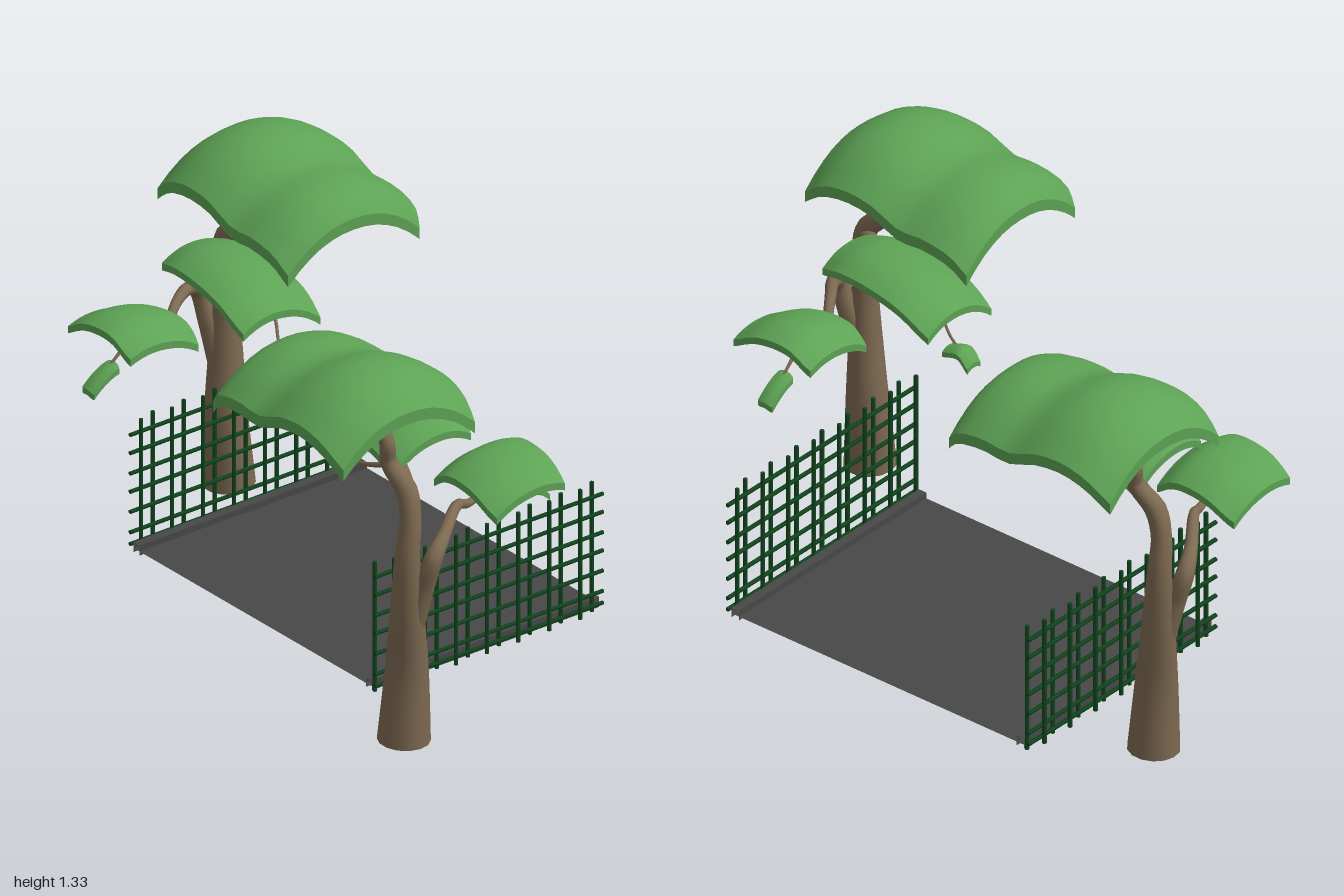
import * as THREE from 'three';

const mat = (name, color, side = THREE.FrontSide) => {
  const m = new THREE.MeshStandardMaterial({ color, side });
  m.name = name;
  return m;
};
const bark = mat('bark brown', 0x7e6a52);
const leaf = mat('leaf green', 0x5da355);
const fenceGreen = mat('fence green', 0x10441d);
const asphalt = mat('asphalt grey', 0x484849, THREE.DoubleSide);

function add(parent, name, geometry, material) {
  const mesh = new THREE.Mesh(geometry, material);
  mesh.name = name;
  parent.add(mesh);
  return mesh;
}

const curveOf = (pts) => new THREE.CatmullRomCurve3(pts.map((p) => new THREE.Vector3(p[0], p[1], p[2])));

// Tapered limb: each point is [x, y, z, radius]
function limb(parent, name, pts, sides = 10) {
  const curve = curveOf(pts);
  const seg = pts.length * 5;
  const geo = new THREE.TubeGeometry(curve, seg, 1, sides);
  const pos = geo.attributes.position;
  const v = new THREE.Vector3();
  for (let i = 0; i <= seg; i++) {
    const c = curve.getPointAt(i / seg);
    const t = curve.getUtoTmapping(i / seg) * (pts.length - 1);
    const k = Math.min(Math.floor(t), pts.length - 2);
    const r = THREE.MathUtils.lerp(pts[k][3], pts[k + 1][3], t - k);
    for (let j = 0; j <= sides; j++) {
      const n = i * (sides + 1) + j;
      v.fromBufferAttribute(pos, n).sub(c).multiplyScalar(r).add(c);
      pos.setXYZ(n, v.x, v.y, v.z);
    }
  }
  add(parent, name, geo, bark);
}

// Arched foliage pad: a slab bent along a spine in x, drooping and tilting in z
function pad(parent, name, spine, half, sag, tilt, thick) {
  const curve = curveOf(spine);
  const geo = new THREE.BoxGeometry(1, 1, 1, 16, 1, 12);
  const pos = geo.attributes.position;
  for (let i = 0; i < pos.count; i++) {
    const u = pos.getX(i) + 0.5;
    const w = pos.getZ(i) * 2;
    const c = curve.getPoint(u);
    const dz = w * half * (1 - 0.08 * Math.pow(Math.abs(2 * u - 1), 4));
    const y = c.y - sag * Math.pow(Math.abs(w), 2.2) + tilt * dz;
    pos.setXYZ(i, c.x, y + (pos.getY(i) - 0.5) * thick, c.z + dz);
  }
  geo.computeVertexNormals();
  add(parent, name, geo, leaf);
}

function makeTree(name) {
  const tree = new THREE.Group();
  tree.name = name;

  // Trunk, side stem and branches
  limb(tree, 'trunk', [
    [0.88, 0.022, 0.345, 0.086], [0.885, 0.27, 0.337, 0.07], [0.905, 0.5, 0.352, 0.054],
    [0.915, 0.7, 0.358, 0.04], [0.908, 0.82, 0.34, 0.034], [0.88, 0.91, 0.335, 0.036],
    [0.81, 0.985, 0.35, 0.028], [0.812, 1.06, 0.36, 0.025], [0.77, 1.108, 0.36, 0.02],
    [0.66, 1.09, 0.39, 0.012], [0.53, 1.12, 0.46, 0.004]], 14);
  const base = add(tree, 'trunkBase', new THREE.CircleGeometry(0.086, 14), bark);
  base.rotation.x = Math.PI / 2;
  base.position.set(0.88, 0.022, 0.345);
  limb(tree, 'sideStem', [
    [0.915, 0.45, 0.335, 0.04], [0.945, 0.58, 0.315, 0.034], [0.97, 0.69, 0.295, 0.031],
    [0.93, 0.735, 0.22, 0.022], [0.84, 0.76, 0.1, 0.018], [0.78, 0.715, 0, 0.014],
    [0.76, 0.73, -0.1, 0.011], [0.76, 0.79, -0.2, 0.006]]);
  limb(tree, 'lowTwig', [
    [0.77, 0.725, -0.07, 0.009], [0.75, 0.735, -0.17, 0.007], [0.74, 0.68, -0.26, 0.004]], 6);
  limb(tree, 'middleBranch', [
    [0.895, 0.89, 0.335, 0.028], [0.79, 0.9, 0.27, 0.022], [0.68, 0.905, 0.21, 0.018],
    [0.6, 0.92, 0.17, 0.014], [0.56, 0.95, 0.13, 0.01], [0.54, 1.0, 0.1, 0.006]]);
  limb(tree, 'middleTwig', [
    [0.71, 0.905, 0.25, 0.011], [0.6, 0.86, 0.255, 0.008], [0.49, 0.815, 0.22, 0.006],
    [0.38, 0.79, 0.15, 0.005], [0.31, 0.785, 0.115, 0.004]], 6);

  // Foliage
  pad(tree, 'topCanopy', [
    [0.28, 1.2, 0.375], [0.33, 1.25, 0.378], [0.44, 1.275, 0.38], [0.55, 1.27, 0.382],
    [0.67, 1.313, 0.385], [0.78, 1.322, 0.385], [0.88, 1.295, 0.387], [0.96, 1.235, 0.387]],
  0.29, 0.12, 0, 0.04);
  pad(tree, 'middleCanopy', [
    [0.3, 0.95, 0.1], [0.41, 1.01, 0.105], [0.55, 1.035, 0.115], [0.68, 1.03, 0.13],
    [0.78, 0.995, 0.15]], 0.17, 0.055, -0.13, 0.025);
  pad(tree, 'lowCanopy', [
    [0.61, 0.785, -0.13], [0.69, 0.835, -0.13], [0.82, 0.83, -0.13], [0.93, 0.775, -0.13]],
  0.15, 0.035, -0.13, 0.025);
  pad(tree, 'hangingLeaf', [
    [0.71, 0.665, -0.285], [0.74, 0.675, -0.285], [0.77, 0.67, -0.285]], 0.055, 0.01, 0.6, 0.02);
  pad(tree, 'tipLeaf', [
    [0.25, 0.765, 0.11], [0.29, 0.805, 0.11], [0.355, 0.79, 0.11]], 0.035, 0.012, 0, 0.018);
  return tree;
}

// Woven lattice: uprights alternate either side of the rails
function makeFence(name) {
  const fence = new THREE.Group();
  fence.name = name;
  const bar = (label, length) => add(fence, label, new THREE.CylinderGeometry(0.0075, 0.0075, length, 6), fenceGreen);
  for (let i = 0; i < 15; i++) {
    bar('upright', 0.463).position.set(i % 2 ? 0.0095 : -0.0095, 0.2785, 0.455 - i * 0.0629);
  }
  for (const y of [0.07, 0.112, 0.185, 0.257, 0.322, 0.395, 0.46]) {
    const rail = bar('rail', 0.925);
    rail.rotation.x = Math.PI / 2;
    rail.position.y = y;
  }
  return fence;
}

export function createModel() {
  const model = new THREE.Group();
  model.name = 'gardenPath';

  // Two trees, one turned half round and set a little lower
  const treeA = makeTree('leftTree');
  const treeB = makeTree('rightTree');
  treeB.rotation.y = Math.PI;
  treeB.position.y = -0.022;
  model.add(treeA, treeB);

  // Path with fences and open-ended kerbs along both sides
  const path = new THREE.Group();
  path.name = 'path';
  path.position.set(-0.0125, 0, -0.213);
  model.add(path);
  const floor = add(path, 'floor', new THREE.PlaneGeometry(1.21, 0.922), asphalt);
  floor.rotation.x = -Math.PI / 2;
  floor.position.y = 0.062;
  for (const s of [1, -1]) {
    const fence = makeFence(s > 0 ? 'leftFence' : 'rightFence');
    fence.position.x = s * 0.624;
    if (s < 0) fence.rotation.y = Math.PI;
    path.add(fence);
    const kerbTop = add(path, 'kerbTop', new THREE.PlaneGeometry(0.031, 0.922), asphalt);
    kerbTop.rotation.x = -Math.PI / 2;
    kerbTop.position.set(s * 0.592, 0.084, 0);
    for (const x of [0.5765, 0.6075]) {
      const side = add(path, 'kerbSide', new THREE.PlaneGeometry(0.922, 0.036), asphalt);
      side.rotation.y = s * Math.PI / 2;
      side.position.set(s * x, 0.066, 0);
    }
  }
  return model;
}
